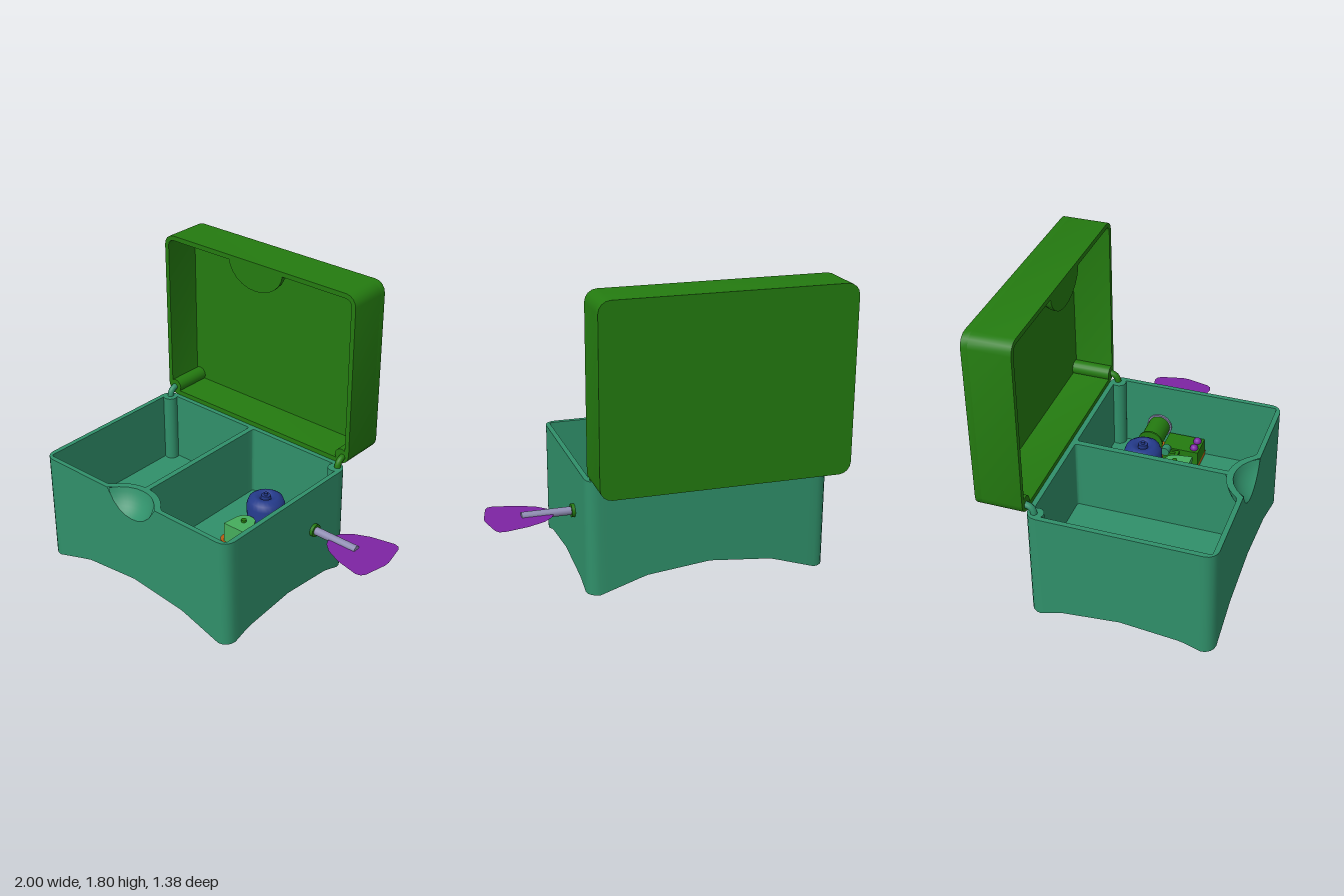
import * as THREE from 'three';
import { toCreasedNormals } from 'three/addons/utils/BufferGeometryUtils.js';

const mat = (name, color, side = THREE.FrontSide) => {
  const m = new THREE.MeshStandardMaterial({ color, side });
  m.name = name;
  return m;
};

// Rounded rectangle as a list of [a, b] points, with n steps on each straight edge
function loop(a0, a1, b0, b1, r, n = 1) {
  const pts = [];
  const corners = [[a1 - r, b1 - r], [a0 + r, b1 - r], [a0 + r, b0 + r], [a1 - r, b0 + r]];
  corners.forEach(([ca, cb], i) => {
    for (let k = 0; k <= 4; k++) {
      const t = (i + k / 4) * Math.PI / 2;
      pts.push([ca + r * Math.cos(t), cb + r * Math.sin(t)]);
    }
    const [a, b] = pts[pts.length - 1];
    const [na, nb] = corners[(i + 1) % 4];
    const t = (i + 1) * Math.PI / 2;
    const ea = na + r * Math.cos(t), eb = nb + r * Math.sin(t);
    for (let k = 1; k < n; k++) pts.push([a + (ea - a) * k / n, b + (eb - b) * k / n]);
  });
  return pts;
}

// Surface through rows of [x, y, z] points
function skin(rows, closed = true) {
  const n = rows[0].length, index = [];
  for (let i = 0; i + 1 < rows.length; i++) {
    for (let j = 0; j < (closed ? n : n - 1); j++) {
      const k = (j + 1) % n, a = i * n, b = a + n;
      index.push(a + j, b + k, b + j, a + j, a + k, b + k);
    }
  }
  const g = new THREE.BufferGeometry();
  g.setAttribute('position', new THREE.Float32BufferAttribute(rows.flat(2), 3));
  g.setIndex(index);
  return toCreasedNormals(g, 0.7);
}

const toShape = (pts) => new THREE.Shape(pts.map(([a, b]) => new THREE.Vector2(a, b)));
const clean = (pts) => pts.filter((p, i) => {
  const q = pts[(i + 1) % pts.length];
  return Math.hypot(p[0] - q[0], p[1] - q[1]) > 1e-4;
});
// Horizontal flat face from [x, z] points
function flat(pts, holes, y) {
  const flip = (p) => clean(p).map(([x, z]) => [x, -z]);
  const s = toShape(flip(pts));
  s.holes = holes.map((h) => toShape(flip(h)));
  return new THREE.ShapeGeometry(s).rotateX(-Math.PI / 2).translate(0, y, 0);
}
// Plate with its outline in x and z, rising from y0 to y1
function plate(pts, y0, y1) {
  const g = new THREE.ExtrudeGeometry(toShape(pts.map(([x, z]) => [x, -z])),
    { depth: y1 - y0, bevelEnabled: false });
  return toCreasedNormals(g.rotateX(-Math.PI / 2).translate(0, y0, 0), 0.7);
}

export function createModel() {
  const model = new THREE.Group();
  model.name = 'windUpBox';
  const teal = mat('teal', 0x30906a, THREE.DoubleSide);
  const green = mat('green', 0x247b10, THREE.DoubleSide);
  const orange = mat('orange', 0xb65d14);
  const blue = mat('blue', 0x243a8a);
  const purple = mat('purple', 0x7d24a3, THREE.DoubleSide);
  const grey = mat('greyViolet', 0x8d8bb0);
  const mint = mat('lightGreen', 0x46ad5c);

  const add = (parent, name, geo, m, x = 0, y = 0, z = 0) => {
    const o = new THREE.Mesh(geo, m);
    o.name = name;
    o.position.set(x, y, z);
    parent.add(o);
    return o;
  };
  const group = (name) => {
    const g = new THREE.Group();
    g.name = name;
    model.add(g);
    return g;
  };
  const rod = (r, len, axis = 'y', seg = 20) => {
    const g = new THREE.CylinderGeometry(r, r, len, seg);
    if (axis === 'x') g.rotateZ(Math.PI / 2);
    if (axis === 'z') g.rotateX(Math.PI / 2);
    return g;
  };

  // --- Box: thumb notch is a sphere cut, with a larger sphere as its inner shell
  const box = group('box');
  const TOP = 0.7, FLOOR = 0.25, CX = -0.265, CZ = 0.14;
  const SX = CX, SY = 0.745, SZ = 0.792, NOTCH = 0.212, SHELL = 0.25;
  const cutY = (x, z, R) => {
    const d = R * R - (x - SX) ** 2 - (z - SZ) ** 2;
    return d > 0 ? Math.min(TOP, SY - Math.sqrt(d)) : TOP;
  };
  const cutZ = (pts, R) => pts.map(([x, z]) => {
    const d = R * R - (SY - TOP) ** 2 - (x - SX) ** 2;
    return [x, d > 0 ? Math.min(z, SZ - Math.sqrt(d)) : z];
  });
  const ramp = (d, table) => {
    for (let i = 1; i < table.length; i++) {
      const [d0, h0] = table[i - 1], [d1, h1] = table[i];
      if (d <= d1) return h0 + (h1 - h0) * (d - d0) / (d1 - d0);
    }
    return 0;
  };
  const archY = (x, z) =>
    ramp(Math.abs(x - CX), [[0, 0.13], [0.385, 0.09], [0.665, 0]]) +
    ramp(Math.abs(z - CZ), [[0, 0.075], [0.36, 0.04], [0.48, 0]]);

  const outer = loop(-1, 0.47, -0.41, 0.69, 0.07, 28);
  const bays = [[-0.97, -0.285], [-0.25, 0.44]].map(([a, b]) => loop(a, b, -0.38, 0.66, 0.015, 28));
  add(box, 'outerWall', skin([
    outer.map(([x, z]) => [x, archY(x, z), z]),
    outer.map(([x, z]) => [x, cutY(x, z, NOTCH), z])]), teal);
  add(box, 'rimAndDividerTop',
    flat(cutZ(outer, NOTCH), bays.map((b) => cutZ(b, SHELL)), TOP), teal);
  for (const bay of bays) {
    add(box, 'compartmentWall', skin([
      bay.map(([x, z]) => [x, cutY(x, z, SHELL), z]),
      bay.map(([x, z]) => [x, FLOOR, z])]), teal);
    add(box, 'compartmentFloor', flat(bay, [], FLOOR), teal);
  }
  const rings = [];
  for (let i = 0; i <= 10; i++) {
    rings.push(outer.map(([px, pz]) => {
      const t = Math.max(i / 10, 0.001), x = CX + (px - CX) * t, z = CZ + (pz - CZ) * t;
      return [x, archY(x, z), z];
    }));
  }
  add(box, 'archedUnderside', skin(rings), teal);

  // Sphere patch below the rim and behind the given wall plane
  const bowl = (R, wallZ) => {
    const rows = [], b = SZ - wallZ, low = SY - Math.sqrt(R * R - b * b);
    for (let i = 0; i <= 8; i++) {
      const y = TOP + (low - TOP) * Math.sin(i / 8 * Math.PI / 2);
      const r = Math.sqrt(R * R - (SY - y) ** 2), half = Math.acos(Math.min(1, b / r));
      const row = [];
      for (let j = 0; j <= 16; j++) {
        const t = half * (j / 8 - 1);
        row.push([SX + r * Math.sin(t), y, SZ - r * Math.cos(t)]);
      }
      rows.push(row);
    }
    return skin(rows, false);
  };
  add(box, 'thumbNotch', bowl(NOTCH, 0.69), teal);
  add(box, 'notchShell', bowl(SHELL, 0.66), teal);

  // --- Lid, standing open
  const lid = group('lid');
  const lidShape = toShape(loop(-1, 0.47, 0.7, 1.805, 0.07));
  const extrude = (s, depth) =>
    toCreasedNormals(new THREE.ExtrudeGeometry(s, { depth, bevelEnabled: false }), 0.7);
  add(lid, 'lidPanel', extrude(lidShape, 0.04), green, 0, 0, -0.69);
  const frame = lidShape.clone();
  frame.holes = [toShape(loop(-0.97, 0.44, 0.73, 1.775, 0.04))];
  add(lid, 'lidFrame', extrude(frame, 0.24), green, 0, 0, -0.65);
  const thumb = add(lid, 'thumbBulge',
    new THREE.SphereGeometry(0.165, 12, 6, Math.PI, Math.PI, Math.PI / 2, Math.PI / 2), green, CX, 1.79, -0.41);
  const cap = add(lid, 'thumbBulgeFace', new THREE.CircleGeometry(0.165, 12, Math.PI, Math.PI), green, CX, 1.79, -0.41);
  thumb.scale.x = cap.scale.x = 1.25;

  // --- Hinges: corner posts in the box, corner rods in the lid, bent pins between
  const hinges = group('hinges');
  [[-0.945, teal], [0.415, green]].forEach(([x, m]) => {
    add(hinges, 'hingePost', rod(0.045, TOP - FLOOR), teal, x, (TOP + FLOOR) / 2, -0.355);
    add(hinges, 'lidHingeRod', rod(0.045, 0.24, 'z'), green, x, 0.755, -0.53);
    const path = new THREE.QuadraticBezierCurve3(new THREE.Vector3(x, 0.68, -0.365),
      new THREE.Vector3(x, 0.755, -0.36), new THREE.Vector3(x, 0.75, -0.43));
    add(hinges, 'hingePin', new THREE.TubeGeometry(path, 10, 0.02, 10), m, x < 0 ? -0.005 : 0.01);
  });

  // --- Movement inside the right compartment
  const works = group('movement');
  const base = loop(-0.03, 0.5, -0.215, 0.215, 0.05).map(([x, z]) => [Math.min(x, 0.44), z]);
  add(works, 'basePlate', plate(clean(base), FLOOR, 0.28), orange);
  const drum = [[0, 0.28], [0.115, 0.28], [0.118, 0.44], [0.105, 0.475], [0.075, 0.495],
    [0.045, 0.49], [0.03, 0.475], [0.028, 0.5], [0, 0.5]].map(([r, y]) => new THREE.Vector2(r, y));
  add(works, 'drum', toCreasedNormals(new THREE.LatheGeometry(drum, 24), 0.8), blue, 0.1, 0, -0.09);
  add(works, 'drumPin', rod(0.012, 0.02), blue, 0.1, 0.505, -0.09);
  add(works, 'springBarrel', rod(0.07, 0.19, 'x'), green, 0.335, 0.41, -0.09);
  add(works, 'barrelFlange', rod(0.08, 0.012, 'x'), green, 0.245, 0.41, -0.09);
  add(works, 'barrelEndDisc', rod(0.08, 0.012, 'x'), grey, 0.432, 0.41, -0.09);
  add(works, 'drumAxle', rod(0.03, 0.06, 'x'), green, 0.225, 0.41, -0.09);
  add(works, 'gearBlock', new THREE.BoxGeometry(0.155, 0.1, 0.23), green, 0.34, 0.33, 0.1);
  for (const x of [0.302, 0.375]) {
    add(works, 'screw', new THREE.SphereGeometry(0.026, 14, 8), purple, x, 0.385, 0.18);
  }
  add(works, 'governor', rod(0.028, 0.05, 'x'), teal, 0.235, 0.38, 0.015);
  add(works, 'leverArm', new THREE.BoxGeometry(0.09, 0.02, 0.02), green, 0.205, 0.37, 0.09);
  add(works, 'leverLink', new THREE.BoxGeometry(0.015, 0.02, 0.1), green, 0.24, 0.37, 0.05);
  const comb = [[0.02, 0.205], [0.035, 0.095], [0.055, 0.06], [0.085, 0.047], [0.115, 0.047],
    [0.145, 0.06], [0.165, 0.095], [0.18, 0.205]].reverse();
  add(works, 'comb', plate(comb, 0.28, 0.41), mint);
  add(works, 'combScrew', rod(0.016, 0.02), green, 0.1, 0.415, 0.115);

  // --- Winding key
  const key = group('windingKey');
  add(key, 'collar', rod(0.04, 0.04, 'x'), green, 0.47, 0.41, -0.09);
  add(key, 'shaft', rod(0.025, 0.345, 'x'), grey, 0.6125, 0.41, -0.09);
  const half = [[0.6, 0.03], [0.62, 0.07], [0.67, 0.115], [0.77, 0.16], [0.92, 0.193],
    [0.95, 0.185], [0.968, 0.16], [1, 0.02]];
  const blade = [...half.map(([x, d]) => [x, -0.09 - d]), ...half.map(([x, d]) => [x, -0.09 + d]).reverse()];
  add(key, 'keyBlade', flat(blade, [], 0.41), purple);

  return model;
}
